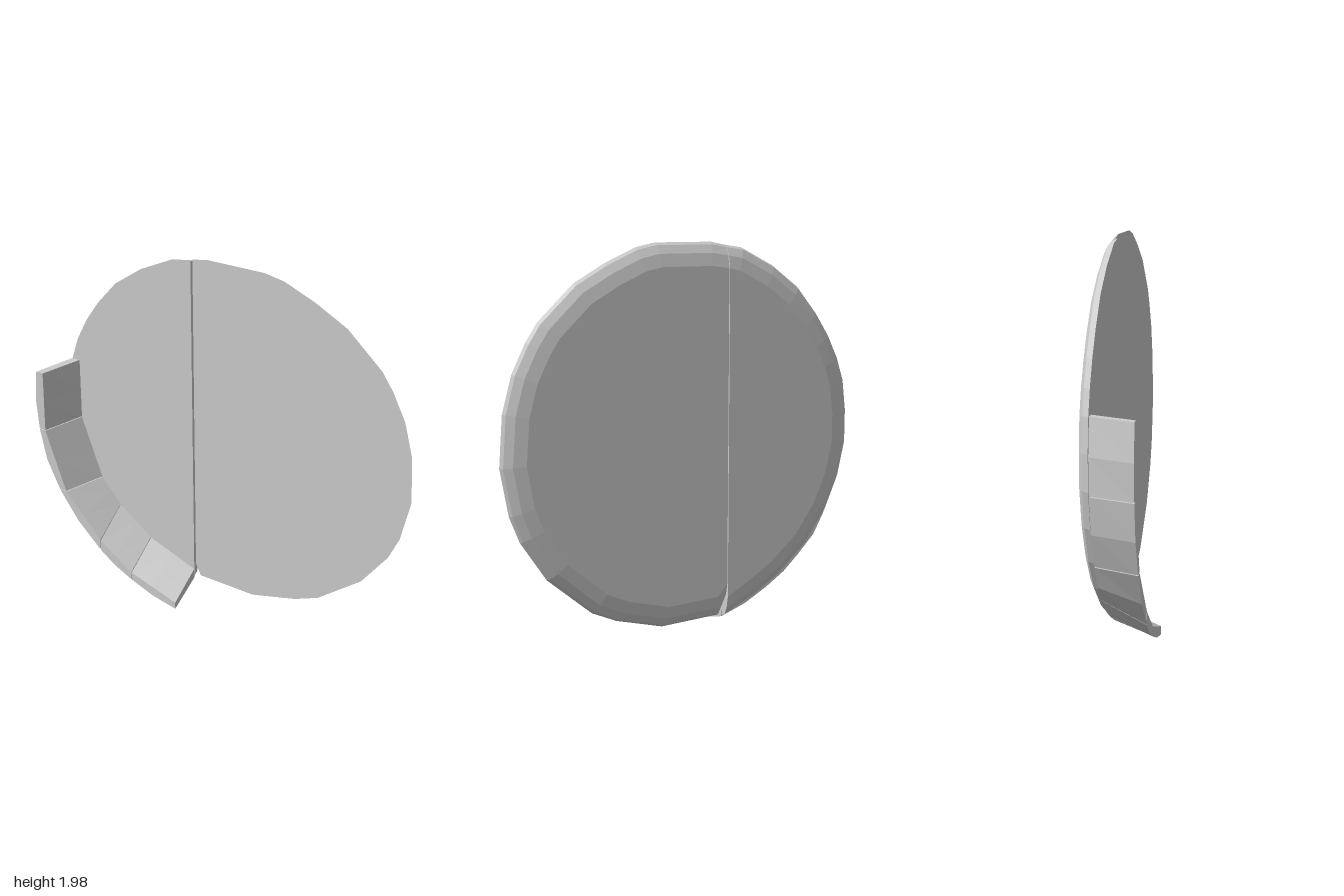
import * as THREE from 'three';

const material = new THREE.MeshStandardMaterial({ color: 0xcccccc, flatShading: true });

// Closed solid through a list of equal-length rings, with fan caps on both ends.
function loft(name, rings) {
  const tris = [];
  const n = rings[0].length;
  for (let r = 0; r < rings.length - 1; r++) {
    for (let i = 0; i < n; i++) {
      const j = (i + 1) % n;
      const [a, b, c, d] = [rings[r][i], rings[r][j], rings[r + 1][j], rings[r + 1][i]];
      tris.push([a, b, c], [a, c, d]);
    }
  }
  const first = rings[0], last = rings[rings.length - 1];
  for (let i = 1; i < n - 1; i++) {
    tris.push([first[0], first[i + 1], first[i]], [last[0], last[i], last[i + 1]]);
  }
  // Signed volume tells whether the faces point outward.
  let volume = 0;
  for (const [a, b, c] of tris) volume += a.dot(b.clone().cross(c));
  const points = tris.flatMap(([a, b, c]) => (volume < 0 ? [a, c, b] : [a, b, c]));
  const geometry = new THREE.BufferGeometry().setFromPoints(points);
  geometry.computeVertexNormals();
  const mesh = new THREE.Mesh(geometry, material);
  mesh.name = name;
  return mesh;
}

// Half of the base: the outline shrinks toward the back in a rounded bevel,
// while its two end points stay on the straight crack.
const CENTER = [0.04, 1.03];
function baseHalf(name, outline, frontZ) {
  const bevel = [[frontZ, 1], [-0.112, 0.987], [-0.133, 0.945], [-0.145, 0.88]];
  return loft(name, bevel.map(([z, s]) => outline.map(([x, y], i) => {
    const onCrack = i === 0 || i === outline.length - 1;
    return new THREE.Vector3(
      onCrack ? x : CENTER[0] + (x - CENTER[0]) * s,
      CENTER[1] + (y - CENTER[1]) * s, z);
  })));
}

// Wall block between two joints; its outside bulges at the middle.
const WALL_Z = [0.13, -0.08, -0.08, 0.13];
function wallBlock(name, start, end, bulge) {
  const section = (joint) => joint.map(([x, y], i) => new THREE.Vector3(x, y, WALL_Z[i]));
  const a = section(start), b = section(end);
  const middle = a.map((p, i) => {
    const m = p.clone().lerp(b[i], 0.5);
    if (i < 2) return m;
    const out = new THREE.Vector3(m.x - CENTER[0], m.y - CENTER[1], 0).normalize();
    return m.addScaledVector(out, bulge);
  });
  return loft(name, [a, middle, b]);
}

export function createModel() {
  const group = new THREE.Group();
  group.name = 'brokenDish';

  const right = [
    [-0.18, 1.965], [-0.1, 1.98], [0.2, 1.98], [0.3, 1.96], [0.46, 1.89], [0.62, 1.8],
    [0.8, 1.63], [0.86, 1.54], [0.93, 1.4], [0.98, 1.22], [1, 0.97], [0.96, 0.74],
    [0.91, 0.61], [0.78, 0.41], [0.55, 0.21], [0.42, 0.15], [0.17, 0.08], [-0.15, 0.09],
    [-0.18, 0.16],
  ];
  const left = [
    [-0.184, 1.965], [-0.28, 1.95], [-0.46, 1.86], [-0.61, 1.75], [-0.72, 1.62], [-0.8, 1.5],
    [-0.86, 1.38], [-0.9, 1.26], [-0.92, 1.1], [-0.92, 0.93], [-0.88, 0.75], [-0.8, 0.57],
    [-0.68, 0.4], [-0.51, 0.25], [-0.36, 0.16], [-0.184, 0.08],
  ];
  group.add(baseHalf('baseLargePiece', right, -0.095), baseHalf('baseSmallPiece', left, -0.083));

  // Wall joints, each: inner front, inner back, outer back, outer front.
  const joints = [
    [[-0.94, 1.26], [-0.855, 1.26], [-0.9, 1.26], [-0.98, 1.26]],
    [[-0.955, 0.91], [-0.865, 0.91], [-0.92, 0.91], [-0.99, 0.91]],
    [[-0.85, 0.555], [-0.755, 0.555], [-0.81, 0.555], [-0.89, 0.555]],
    [[-0.645, 0.3], [-0.645, 0.41], [-0.65, 0.34], [-0.65, 0.235]],
    [[-0.455, 0.15], [-0.455, 0.25], [-0.455, 0.19], [-0.455, 0.1]],
    [[-0.18, 0.045], [-0.18, 0.13], [-0.18, 0.07], [-0.18, 0.003]],
  ];
  const bulges = [0.014, 0.02, 0.018, 0.01, 0.012];
  bulges.forEach((bulge, i) => {
    // A hairline gap separates neighbouring blocks.
    const end = joints[i + 1].map(([x, y], k) => [
      THREE.MathUtils.lerp(x, joints[i][k][0], 0.012),
      THREE.MathUtils.lerp(y, joints[i][k][1], 0.012)]);
    group.add(wallBlock(`wallBlock${i + 1}`, joints[i], end, bulge));
  });
  return group;
}
